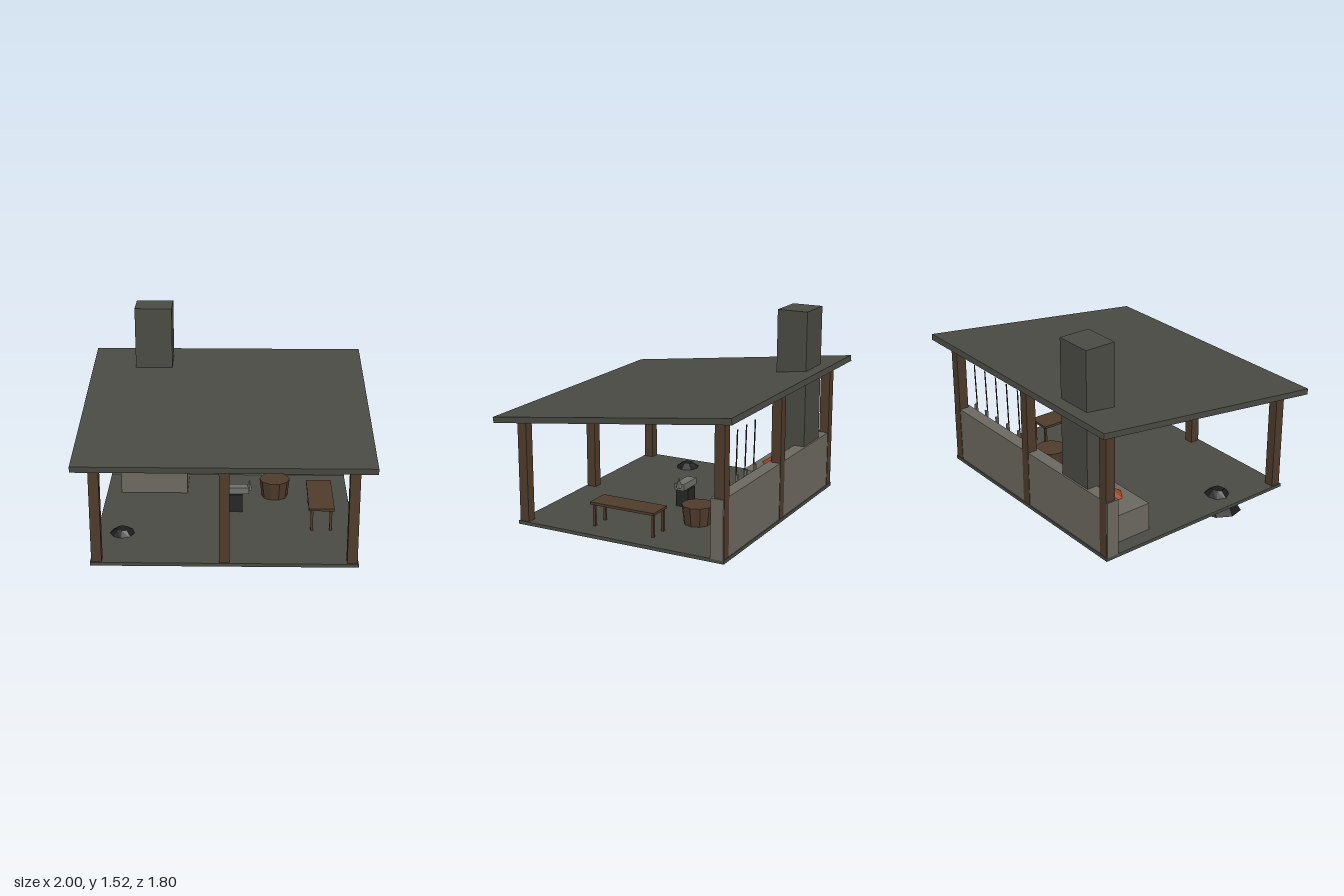
import * as THREE from 'three';

const mat = (name, color, extra = {}) => {
  const m = new THREE.MeshStandardMaterial({ color, flatShading: true, ...extra });
  m.name = name;
  return m;
};

export function createModel() {
  const group = new THREE.Group();
  const slate = mat('dark slate', 0x4a4a44);
  const stone = mat('stone', 0x6b6860);
  const wood = mat('wood', 0x4e3b2b);
  const darkWood = mat('dark wood', 0x3a2c20);
  const iron = mat('black iron', 0x252626);
  const coal = mat('coal', 0x1c1c1c);
  const steel = mat('steel', 0x6e6e6a);
  const ember = mat('ember', 0xa8461f);

  const add = (name, geometry, material, x = 0, y = 0, z = 0) => {
    const mesh = new THREE.Mesh(geometry, material);
    mesh.name = name;
    mesh.position.set(x, y, z);
    group.add(mesh);
    return mesh;
  };
  // Box given by its minimum and maximum on each axis
  const block = (name, material, x0, x1, y0, y1, z0, z1) =>
    add(name, new THREE.BoxGeometry(x1 - x0, y1 - y0, z1 - z0), material,
      (x0 + x1) / 2, (y0 + y1) / 2, (z0 + z1) / 2);

  // Building shell
  block('floor', slate, -0.907, 0.907, 0.108, 0.132, -0.806, 0.782);
  block('backWall', stone, -0.907, 0.907, 0.13, 0.54, -0.799, -0.708);
  for (const x of [-0.864, 0, 0.864]) {
    block('frontPost', wood, x - 0.035, x + 0.035, 0.13, 0.847, 0.702, 0.771);
    block('backPost', wood, x - 0.035, x + 0.035, 0.13, 1.03, -0.802, -0.731);
  }
  const roof = add('roof', new THREE.BoxGeometry(2, 0.042, 1.809), slate, 0, 0.974, 0);
  roof.rotation.x = 0.125;

  // Forge, chimney, fire and bellows
  block('forge', stone, -0.798, -0.298, 0.106, 0.335, -0.74, -0.36);
  block('chimney', slate, -0.682, -0.41, 0.33, 1.518, -0.786, -0.56);
  const fire = add('fire', new THREE.ConeGeometry(0.12, 0.085, 6), ember, -0.546, 0.373, -0.515);
  fire.scale.x = 0.9;
  block('bellows', wood, -0.31, -0.15, 0.248, 0.383, -0.683, -0.568);

  // Anvil on its stand
  block('anvilStand', iron, 0.02, 0.12, 0.106, 0.268, -0.13, -0.032);
  block('anvilBody', steel, -0.025, 0.165, 0.268, 0.316, -0.118, -0.045);
  add('anvilHorn', new THREE.ConeGeometry(0.024, 0.077, 6), steel, 0.168, 0.329, -0.081);

  // Quenching tub
  const tub = add('tub', new THREE.CylinderGeometry(0.113, 0.096, 0.136, 10), wood, 0.358, 0.2, -0.33);
  tub.rotation.y = Math.PI / 10;

  // Workbench
  block('benchTop', wood, 0.588, 0.77, 0.29, 0.308, -0.217, 0.283);
  for (const x of [0.612, 0.746]) {
    for (const z of [-0.199, 0.259]) {
      block('benchLeg', wood, x - 0.009, x + 0.009, 0.13, 0.29, z - 0.009, z + 0.009);
    }
  }

  // Hanging tools: slim handles with flat metal heads
  for (let i = 0; i < 5; i++) {
    const x = 0.227 + i * 0.1363;
    const handle = add('toolHandle', new THREE.CylinderGeometry(0.005, 0.005, 0.31, 6), darkWood, x, 0.73, -0.692);
    handle.rotation.x = -0.025;
    block('toolSocket', steel, x - 0.012, x + 0.012, 0.52, 0.575, -0.705, -0.689);
    block('toolHead', steel, x - 0.014, x + 0.014, 0.375, 0.52, -0.705, -0.691);
  }

  // Coal heap: tapering octagonal rings, uneven and slightly tilted
  const profile = [[0, 0.015], [0.163, 0.015], [0.108, 0.115], [0.042, 0.17], [0, 0.174]]
    .map(([r, y]) => new THREE.Vector2(r, y));
  const heap = new THREE.LatheGeometry(profile, 8);
  const p = heap.attributes.position;
  for (let i = 0; i < p.count; i++) {
    const x = p.getX(i), y = p.getY(i), z = p.getZ(i);
    const k = 1 + 0.05 * Math.sin(3 * Math.atan2(z, x) + y * 30);
    p.setXYZ(i, x * k, y - 0.09 * z * (1 - y * 4), z * k);
  }
  heap.computeVertexNormals();
  add('coalHeap', heap, coal, -0.728, 0, 0.332);

  return group;
}
